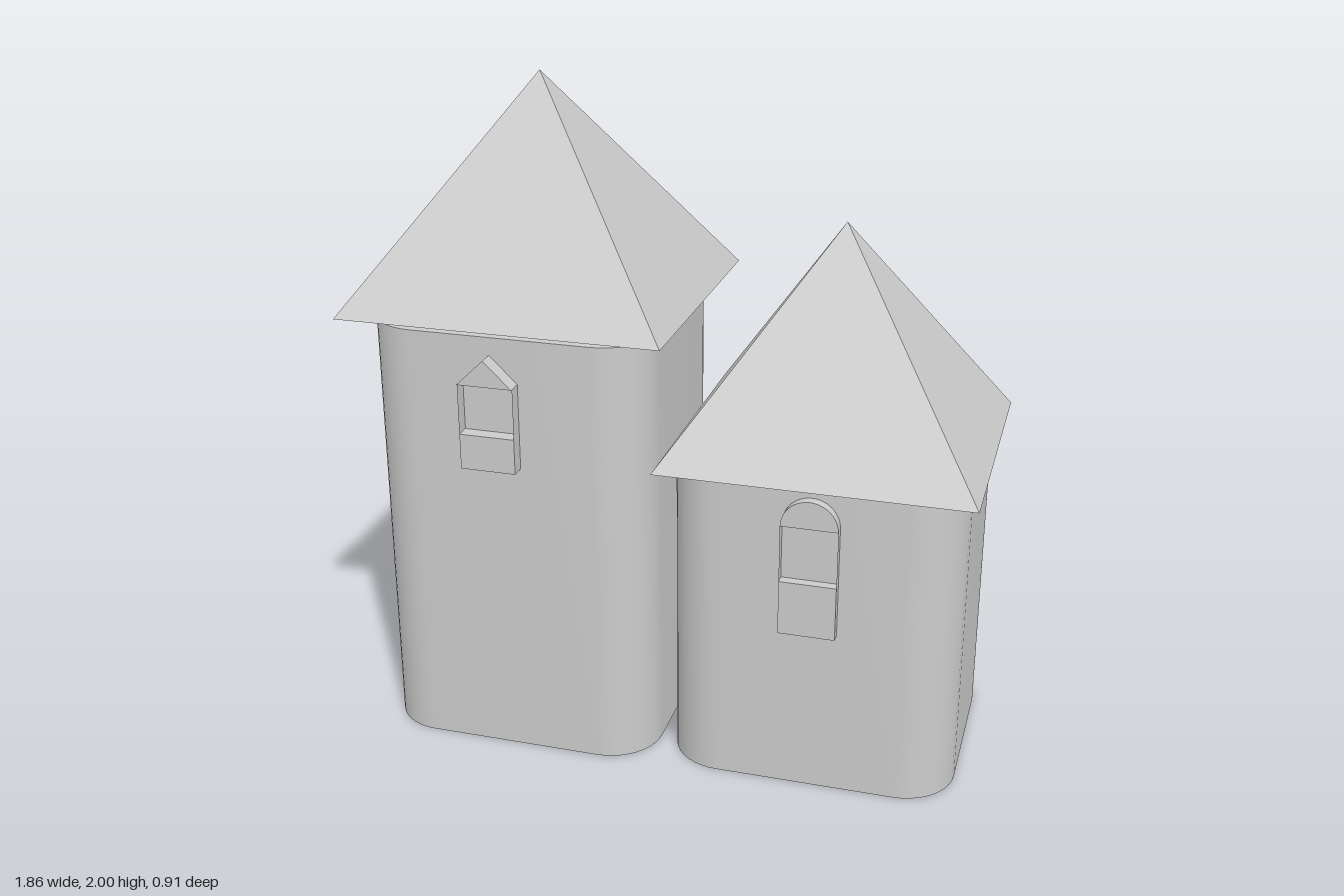
import * as THREE from 'three';
import { toCreasedNormals } from 'three/addons/utils/BufferGeometryUtils.js';

const material = new THREE.MeshStandardMaterial({ color: 0xcccccc });
const sheetMaterial = new THREE.MeshStandardMaterial({ color: 0xcccccc, side: THREE.DoubleSide });

function addMesh(parent, name, geometry, mat = material) {
  const mesh = new THREE.Mesh(geometry, mat);
  mesh.name = name;
  parent.add(mesh);
  return mesh;
}

// Rectangle with rounded corners, centred on the origin
function roundedRect(w, d, r) {
  const x = w / 2 - r, y = d / 2 - r;
  const s = new THREE.Shape();
  s.absarc(x, y, r, 0, Math.PI / 2);
  s.absarc(-x, y, r, Math.PI / 2, Math.PI);
  s.absarc(-x, -y, r, Math.PI, Math.PI * 1.5);
  s.absarc(x, -y, r, Math.PI * 1.5, Math.PI * 2);
  s.closePath();
  return s;
}

// Upright body with rounded vertical corners
function addBody(parent, { x, z, w, d, h }) {
  const geo = new THREE.ExtrudeGeometry(roundedRect(w, d, 0.16), {
    depth: h, bevelEnabled: false, curveSegments: 5,
  });
  geo.rotateX(-Math.PI / 2);
  addMesh(parent, 'towerBody', toCreasedNormals(geo, 0.6)).position.set(x, 0, z);
}

// Four-sided pyramid roof with a closed underside
function addRoof(parent, { x, z, w, d, y, h }) {
  const geo = new THREE.ConeGeometry(Math.SQRT1_2, h, 4, 1).rotateY(Math.PI / 4);
  geo.scale(w, 1, d);
  const flat = geo.toNonIndexed();
  flat.computeVertexNormals();
  addMesh(parent, 'roof', flat).position.set(x, y + h / 2, z);
}

// Window: lower panel, open middle between thin sides, shaped head
function addWindow(parent, { x, w, bottom, sill, top, wall, front, head, headFront }) {
  const group = new THREE.Group();
  group.name = 'window';
  parent.add(group);
  const depth = front - wall + 0.01;
  const z = wall - 0.01;
  addMesh(group, 'windowPanel', new THREE.BoxGeometry(w, sill - bottom, depth))
    .position.set(x, (bottom + sill) / 2, z + depth / 2);
  for (const side of [-1, 1]) {
    const jamb = addMesh(group, 'windowSide', new THREE.PlaneGeometry(depth, top - sill), sheetMaterial);
    jamb.rotation.y = side * Math.PI / 2;
    jamb.position.set(x + side * w / 2, (sill + top) / 2, z + depth / 2);
  }
  const geo = new THREE.ExtrudeGeometry(head, {
    depth: headFront - z, bevelEnabled: false, curveSegments: 12,
  });
  addMesh(group, 'windowHead', toCreasedNormals(geo, 0.6)).position.set(x, top, z);
}

export function createModel() {
  const model = new THREE.Group();
  model.name = 'twinTowers';

  // Tall tower with a gabled window
  const tall = new THREE.Group();
  tall.name = 'tallTower';
  addBody(tall, { x: -0.438, z: 0.022, w: 0.856, d: 0.768, h: 1.323 });
  addRoof(tall, { x: -0.445, z: -0.014, w: 0.977, d: 0.88, y: 1.34, h: 0.66 });
  const gable = new THREE.Shape();
  gable.moveTo(-0.083, 0);
  gable.lineTo(0.083, 0);
  gable.lineTo(0, 0.08);
  gable.closePath();
  addWindow(tall, {
    x: -0.466, w: 0.166, bottom: 0.93, sill: 1.037, top: 1.19,
    wall: 0.406, front: 0.45, head: gable, headFront: 0.455,
  });

  // Short tower with an arched window
  const short = new THREE.Group();
  short.name = 'shortTower';
  addBody(short, { x: 0.466, z: -0.004, w: 0.856, d: 0.768, h: 0.957 });
  addRoof(short, { x: 0.468, z: -0.016, w: 0.924, d: 0.836, y: 0.957, h: 0.66 });
  const arch = new THREE.Shape();
  arch.absarc(0, 0, 0.083, 0, Math.PI);
  arch.closePath();
  addWindow(short, {
    x: 0.468, w: 0.166, bottom: 0.512, sill: 0.677, top: 0.85,
    wall: 0.38, front: 0.41, head: arch, headFront: 0.41,
  });

  model.add(tall, short);
  return model;
}
